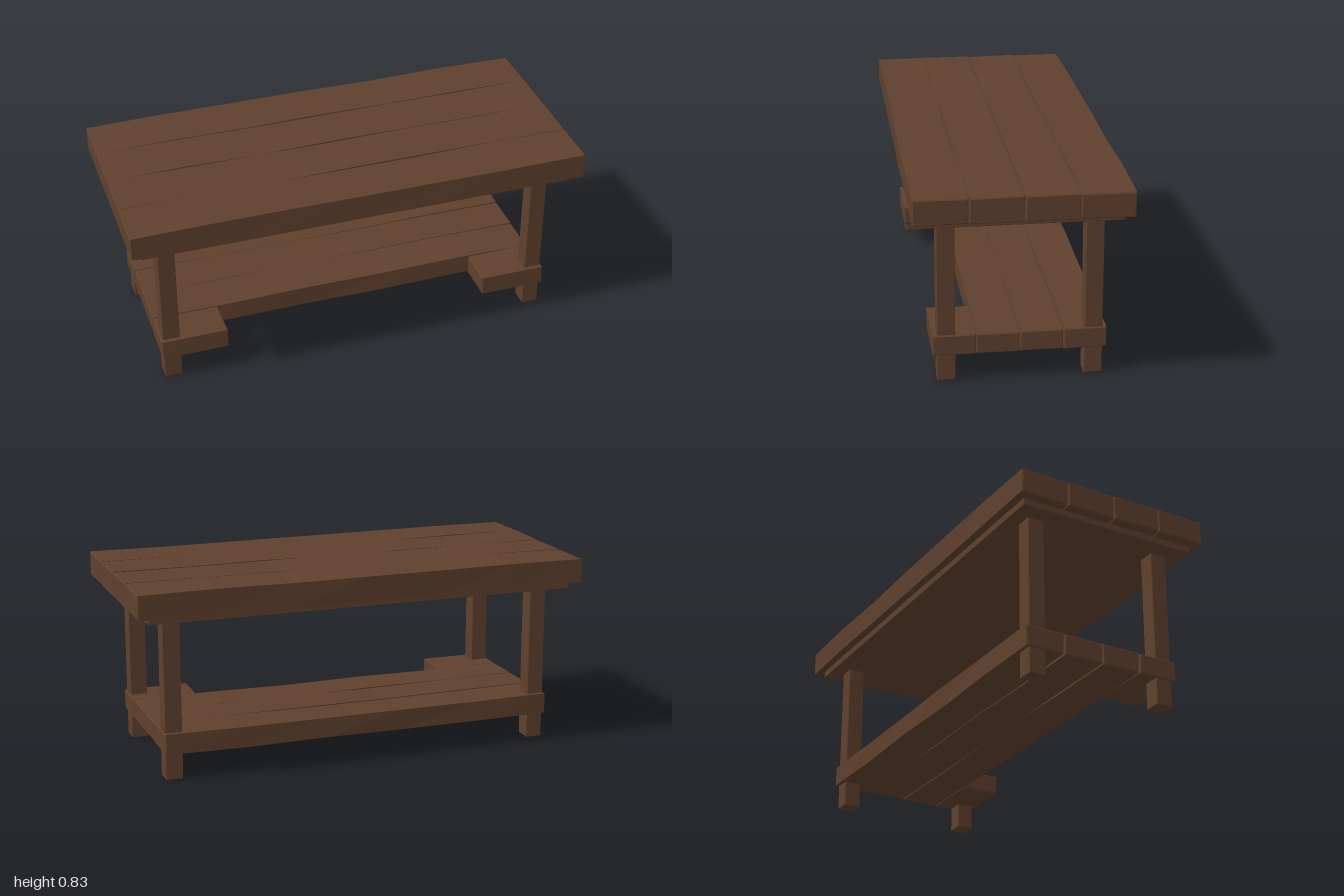
import * as THREE from 'three';

// Repeatable value in -1..1 from a seed
function hash(n) {
  const s = Math.sin(n * 127.1 + 11.7) * 43758.5453;
  return 2 * (s - Math.floor(s)) - 1;
}

// Bevelled beam along x; wobble shifts each edge a little at every station
function beam(x0, x1, y0, y1, z0, z1, bevel, wobble = 0, seed = 0) {
  const b = bevel, L = x1 - x0, h = (y1 - y0) / 2 - b, w = (z1 - z0) / 2 - b;
  const shape = new THREE.Shape();
  shape.moveTo(-w, -h);
  shape.lineTo(w, -h);
  shape.lineTo(w, h);
  shape.lineTo(-w, h);
  shape.closePath();
  const steps = wobble ? Math.max(1, Math.round(L / 0.35)) : 1;
  const geo = new THREE.ExtrudeGeometry(shape, {
    depth: L - 2 * b, steps, bevelEnabled: true, bevelSegments: 1, bevelSize: b, bevelThickness: b,
  });
  geo.translate(0, 0, -(L - 2 * b) / 2);
  geo.rotateY(Math.PI / 2);
  const p = geo.attributes.position;
  for (let i = 0; wobble && i < p.count; i++) {
    const station = Math.round((p.getX(i) / L + 0.5) * steps);
    const edge = (p.getY(i) > 0 ? 2 : 0) + (p.getZ(i) > 0 ? 1 : 0);
    const k = seed * 97 + station * 4 + edge;
    p.setY(i, p.getY(i) + wobble * hash(k));
    p.setZ(i, p.getZ(i) + wobble * hash(k + 0.5));
  }
  geo.translate((x0 + x1) / 2, (y0 + y1) / 2, (z0 + z1) / 2);
  geo.computeVertexNormals();
  return geo;
}

export function createModel() {
  const model = new THREE.Group();
  model.name = 'table';
  const wood = new THREE.MeshStandardMaterial({ color: 0x5f402d, flatShading: true });
  wood.name = 'brown wood';
  const add = (name, geo) => {
    const mesh = new THREE.Mesh(geo, wood);
    mesh.name = name;
    model.add(mesh);
  };

  // Four thick table top planks
  for (let i = 0; i < 4; i++) {
    const z = -0.443 + i * 0.2215;
    add('topPlank' + (i + 1), beam(-1, 1, 0.725, 0.832, z + 0.002, z + 0.2195, 0.005, 0.0025, i + 1));
  }

  // Thin panel under the top
  add('underPanel', beam(-0.955, 0.95, 0.696, 0.727, -0.407, 0.408, 0.002));

  // Three full shelf planks
  for (let i = 0; i < 3; i++) {
    const z = -0.36 + i * 0.18;
    add('shelfPlank' + (i + 1), beam(-0.883, 0.88, 0.113, 0.202, z + 0.002, z + 0.178, 0.005, 0.003, i + 8));
  }
  // Front shelf plank is cut away in the middle, leaving two end blocks
  add('rightShelfBlock', beam(-0.885, -0.592, 0.113, 0.201, 0.182, 0.359, 0.005, 0.0025, 15));
  add('leftShelfBlock', beam(0.59, 0.882, 0.113, 0.201, 0.182, 0.359, 0.005, 0.0025, 16));

  // Square legs
  for (const sx of [-1, 1]) {
    for (const sz of [-1, 1]) {
      const x = sx * 0.838, z = sz * 0.302;
      add((sz > 0 ? 'front' : 'back') + (sx > 0 ? 'Left' : 'Right') + 'Leg',
        beam(x - 0.0375, x + 0.0375, 0, 0.7, z - 0.0375, z + 0.0375, 0.003));
    }
  }
  return model;
}
